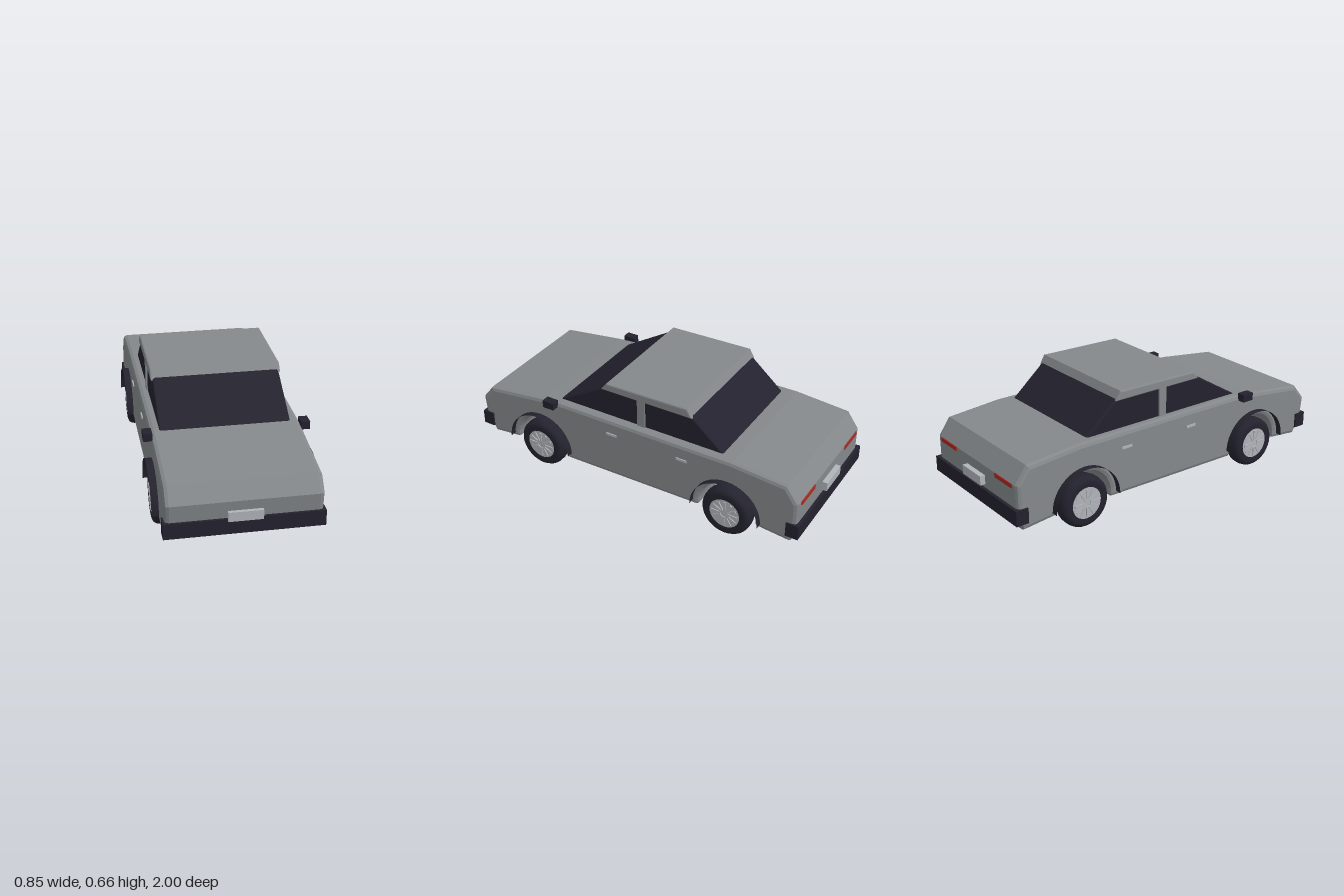
import * as THREE from 'three';

const mat = (name, color, extra = {}) => Object.assign(new THREE.MeshStandardMaterial({ color, ...extra }), { name });

export function createModel() {
  const paint = mat('grey paint', 0x84888b);
  const dark = mat('dark trim', 0x23222e);
  const darkOpen = dark;
  darkOpen.side = THREE.DoubleSide; // arch flares are open strips
  const silver = mat('silver', 0xb0b3b8);
  const red = mat('red lamp', 0xa82a22);

  const car = new THREE.Group();
  car.name = 'car';
  const add = (name, geometry, material, x = 0, y = 0, z = 0, parent = car) => {
    const mesh = new THREE.Mesh(geometry, material);
    mesh.name = name;
    mesh.position.set(x, y, z);
    parent.add(mesh);
    return mesh;
  };
  const box = (name, material, w, h, d, x, y, z, parent) =>
    add(name, new THREE.BoxGeometry(w, h, d), material, x, y, z, parent);

  // Extrudes a side profile of (z, y) points across the width, with chamfered edges
  const across = (points, halfWidth, bevel, segments = 2) => {
    const shape = new THREE.Shape(points.map(([z, y]) => new THREE.Vector2(z, y)));
    const depth = 2 * (halfWidth - bevel);
    const g = new THREE.ExtrudeGeometry(shape, {
      depth, bevelEnabled: bevel > 0, bevelThickness: bevel, bevelSize: bevel,
      bevelOffset: -bevel, bevelSegments: segments,
    });
    g.translate(0, 0, -depth / 2);
    return g.rotateY(-Math.PI / 2);
  };

  const axleZ = 0.58, axleY = 0.142;

  // Wheel arch cut, traced from rear to front
  const arch = (zc) => {
    const pts = [], n = 16, a0 = Math.PI + 0.08, a1 = -0.08;
    for (let i = 0; i <= n; i++) {
      const a = a0 + ((a1 - a0) * i) / n;
      pts.push([zc + 0.162 * Math.cos(a), axleY + 0.162 * Math.sin(a)]);
    }
    return pts;
  };

  // Lower body
  add('body', across([
    [-0.94, 0.1], [-0.75, 0.118], ...arch(-axleZ), [-0.408, 0.113],
    [0.41, 0.1], ...arch(axleZ), [0.755, 0.118], [0.92, 0.1],
    [0.975, 0.2], [0.987, 0.315], [0.92, 0.396], [0.56, 0.442], [0.44, 0.452],
    [-0.6, 0.46], [-0.905, 0.436], [-0.97, 0.345], [-0.97, 0.22],
  ], 0.386, 0.022), paint);

  // Glasshouse and roof
  add('windows', across([
    [-0.55, 0.44], [0.5, 0.43], [0.178, 0.626], [-0.335, 0.626],
  ], 0.337, 0.012), dark);
  add('roof', across([
    [-0.348, 0.61], [0.2, 0.606], [0.165, 0.65], [-0.32, 0.66],
  ], 0.345, 0.008), paint);

  // Bumpers and number plates
  box('frontBumper', dark, 0.79, 0.082, 0.068, 0, 0.182, 0.956);
  box('rearBumper', dark, 0.79, 0.082, 0.07, 0, 0.182, -0.952);
  box('frontPlate', silver, 0.172, 0.05, 0.03, 0, 0.238, 0.985);
  box('rearPlate', silver, 0.172, 0.05, 0.03, 0, 0.268, -0.983);

  // Tyre cross-section as (radius, offset along the axle)
  const tyre = new THREE.LatheGeometry([
    [0.082, -0.044], [0.112, -0.047], [0.128, -0.041], [0.137, -0.028], [0.14, -0.012],
    [0.14, 0.012], [0.137, 0.028], [0.128, 0.041], [0.112, 0.047], [0.082, 0.044],
  ].map(([r, h]) => new THREE.Vector2(r, h)), 32).rotateZ(Math.PI / 2);
  const rim = new THREE.CylinderGeometry(0.086, 0.086, 0.089, 32).rotateZ(Math.PI / 2);
  const flare = new THREE.CylinderGeometry(0.195, 0.195, 0.045, 24, 1, true, 0, Math.PI).rotateZ(Math.PI / 2);

  for (const s of [1, -1]) {
    const side = s > 0 ? 'left' : 'right';

    // Wheels and arch flares
    for (const z of [axleZ, -axleZ]) {
      const end = z > 0 ? 'Front' : 'Rear';
      const wheel = new THREE.Group();
      wheel.name = `${side}${end}Wheel`;
      wheel.position.set(s * 0.358, axleY, z);
      car.add(wheel);
      add('tyre', tyre, dark, 0, 0, 0, wheel);
      add('rim', rim, silver, 0, 0, 0, wheel);
      for (let i = 0; i < 12; i++) {
        const a = (i * Math.PI) / 6;
        const spoke = box('spoke', silver, 0.008, 0.055, 0.012,
          s * 0.046, 0.048 * Math.cos(a), 0.048 * Math.sin(a), wheel);
        spoke.rotation.x = a;
      }
      add(`${side}${end}ArchFlare`, flare, darkOpen, s * 0.4, axleY, z);
    }

    // Door pillar, mirror, handles and tail lamp
    box(`${side}Pillar`, paint, 0.02, 0.18, 0.046, s * 0.335, 0.53, -0.046);
    box(`${side}Mirror`, dark, 0.046, 0.042, 0.068, s * 0.403, 0.446, 0.494);
    for (const z of [0.113, -0.315])
      box(`${side}DoorHandle`, silver, 0.012, 0.013, 0.062, s * 0.386, 0.37, z);
    box(`${side}TailLamp`, red, 0.155, 0.022, 0.016, s * 0.265, 0.335, -0.967);
  }
  return car;
}
